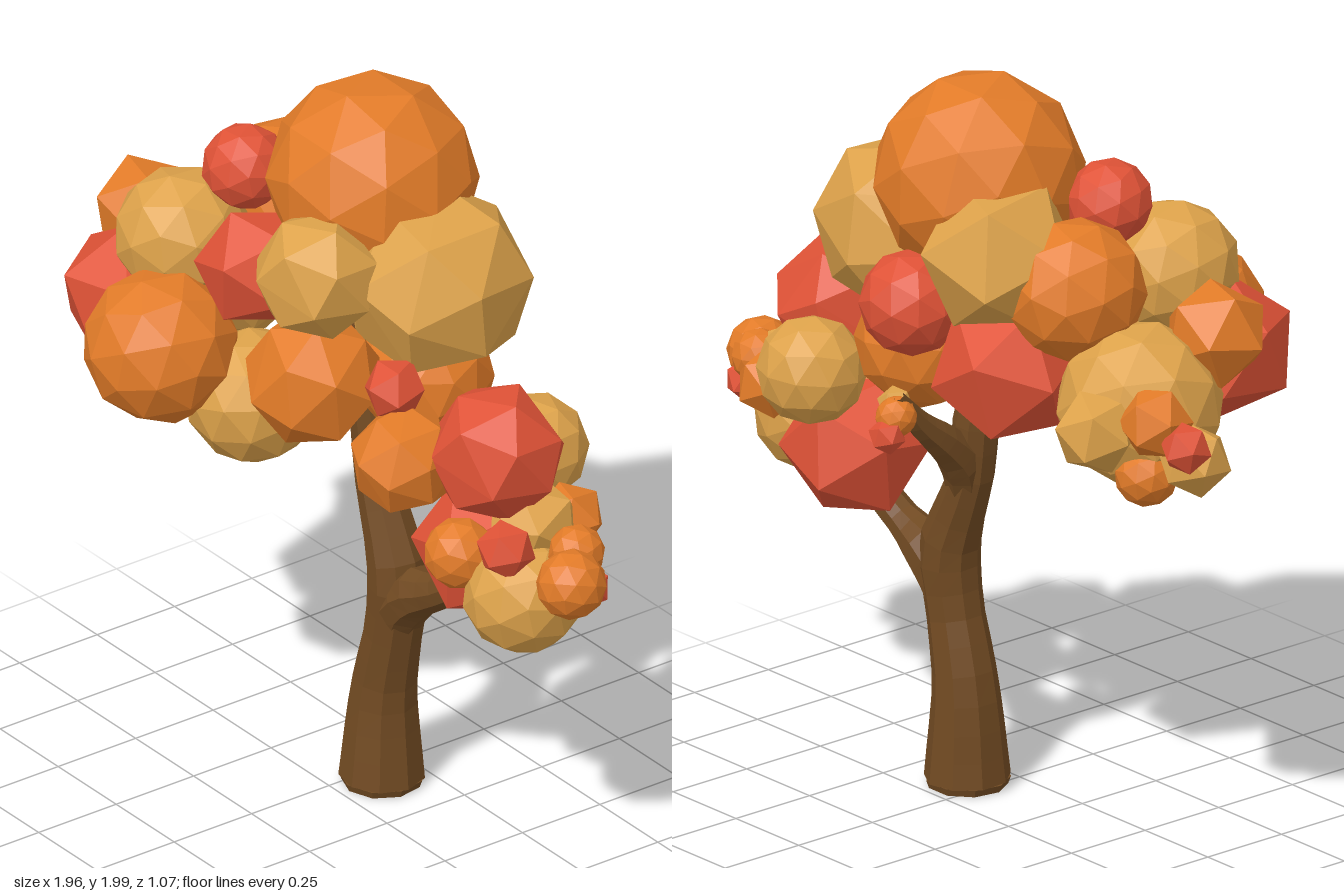
import * as THREE from 'three';
import { ConvexGeometry } from 'three/addons/geometries/ConvexGeometry.js';

const material = (color) => new THREE.MeshStandardMaterial({ color, flatShading: true });
const BARK = material(0x714a22);
const LEAF = { o: material(0xe27b28), t: material(0xdda24a), r: material(0xdf5236) };

// Tapered limb: points are [x, y, z, radius]
function limb(name, points, sides = 9, steps = 12) {
  const curve = new THREE.CatmullRomCurve3(points.map((p) => new THREE.Vector3(p[0], p[1], p[2])));
  const geo = new THREE.TubeGeometry(curve, steps, 1, sides, false);
  const pos = geo.attributes.position;
  const v = new THREE.Vector3();
  for (let i = 0; i <= steps; i++) {
    const t = i / steps;
    const centre = curve.getPointAt(t);
    const f = curve.getUtoTmapping(t) * (points.length - 1);
    const k = Math.min(Math.floor(f), points.length - 2);
    const radius = THREE.MathUtils.lerp(points[k][3], points[k + 1][3], f - k);
    for (let j = 0; j <= sides; j++) {
      const n = i * (sides + 1) + j;
      v.fromBufferAttribute(pos, n).sub(centre).multiplyScalar(radius).add(centre);
      pos.setXYZ(n, v.x, v.y, v.z);
    }
  }
  const mesh = new THREE.Mesh(geo, BARK);
  mesh.name = name;
  return mesh;
}

// Irregular cut-stone ball: hull of points spiralling over a sphere
function cutBall(radius, count = 20) {
  const points = [];
  for (let i = 0; i < count; i++) {
    const y = 1 - (2 * i + 1) / count;
    const a = i * 2.39996;
    const s = Math.sqrt(1 - y * y);
    points.push(new THREE.Vector3(Math.cos(a) * s, y, Math.sin(a) * s).multiplyScalar(radius));
  }
  return new ConvexGeometry(points);
}

// Facet styles of a leaf clump: rounded, triangular or irregular
const FACETS = {
  round: (r) => new THREE.IcosahedronGeometry(r, 1),
  tri: (r) => new THREE.IcosahedronGeometry(r, 0),
  cut: (r) => cutBall(r),
};

// Leaf clumps: [colour, x, y, z, radius, facets]
const crown = [
  ['o', -0.04, 1.725, -0.17, 0.28, 'round'],
  ['t', 0.21, 1.525, -0.19, 0.255, 'cut'],
  ['t', 0.08, 1.58, 0.095, 0.172, 'cut'],
  ['r', -0.15, 1.51, 0.12, 0.165, 'tri'],
  ['r', -0.335, 1.69, 0.02, 0.115, 'round'],
  ['t', -0.42, 1.5, 0.16, 0.18, 'round'],
  ['o', -0.42, 1.52, -0.17, 0.19, 'round'],
  ['o', -0.285, 1.285, 0.33, 0.205, 'round'],
  ['r', -0.545, 1.3, 0.23, 0.195, 'tri'],
  ['o', -0.7, 1.42, 0.07, 0.145, 'tri'],
  ['t', -0.14, 1.14, 0.14, 0.18, 'round'],
  ['o', 0.07, 1.27, 0.1, 0.185, 'cut'],
  ['o', 0.15, 1.22, -0.2, 0.18, 'round'],
  ['r', -0.04, 1.43, -0.4, 0.14, 'round'],
  ['t', -0.25, 1.59, -0.28, 0.22, 'tri'],
  ['r', -0.28, 1.29, -0.28, 0.205, 'tri'],
];
const leftClumps = [
  ['t', -0.62, 1.25, -0.12, 0.22, 'round'],
  ['t', -0.86, 1.17, -0.14, 0.1, 'tri'],
  ['r', -0.92, 1.24, -0.22, 0.07, 'tri'],
  ['o', -0.81, 1.28, -0.23, 0.1, 'tri'],
  ['o', -0.74, 1.11, -0.2, 0.085, 'round'],
  ['t', -0.68, 1.24, -0.32, 0.115, 'tri'],
];
const rightClumps = [
  ['r', 0.31, 1.32, 0.02, 0.085, 'tri'],
  ['o', 0.385, 1.15, 0.045, 0.145, 'cut'],
  ['r', 0.55, 1.19, -0.13, 0.185, 'cut'],
  ['r', 0.43, 0.845, -0.19, 0.2, 'tri'],
  ['t', 0.69, 0.84, -0.11, 0.16, 'round'],
  ['o', 0.55, 0.93, -0.01, 0.095, 'round'],
  ['o', 0.885, 0.95, -0.12, 0.093, 'round'],
  ['r', 0.71, 1.0, -0.04, 0.08, 'tri'],
  ['t', 0.435, 1.085, -0.335, 0.145, 'round'],
  ['o', 0.64, 0.98, -0.3, 0.095, 'tri'],
  ['t', 0.64, 1.0, -0.18, 0.13, 'tri'],
  ['o', 0.8, 0.98, -0.2, 0.075, 'round'],
  ['r', 0.85, 0.9, -0.2, 0.06, 'tri'],
];
const twigClumps = [
  ['o', 0.01, 1.1, -0.41, 0.055, 'round'],
  ['r', 0.0, 1.06, -0.45, 0.05, 'tri'],
  ['t', 0.06, 1.11, -0.37, 0.05, 'tri'],
];

function clumpGroup(name, list) {
  const group = new THREE.Group();
  group.name = name;
  list.forEach(([colour, x, y, z, radius, facets], i) => {
    const mesh = new THREE.Mesh(FACETS[facets](radius), LEAF[colour]);
    mesh.name = 'leafClump';
    mesh.position.set(x, y, z);
    mesh.rotation.set(i * 1.7 + 0.3, i * 2.3, i * 0.9);
    group.add(mesh);
  });
  return group;
}

export function createModel() {
  const tree = new THREE.Group();
  tree.name = 'autumnTree';

  // Trunk and branches; each branch starts inside the trunk so the fork blends
  tree.add(
    limb('trunk', [
      [0.055, 0.02, -0.13, 0.114], [0.058, 0.28, -0.135, 0.087], [0.1, 0.48, -0.135, 0.076],
      [0.115, 0.63, -0.14, 0.085], [0.075, 0.75, -0.14, 0.07], [0.025, 0.87, -0.14, 0.06],
      [0.008, 1.02, -0.14, 0.062], [-0.02, 1.2, -0.13, 0.05], [-0.05, 1.45, -0.13, 0.035],
    ], 9, 20),
    limb('rightBranch', [
      [0.085, 0.4, -0.135, 0.055], [0.125, 0.54, -0.137, 0.075], [0.19, 0.61, -0.14, 0.075],
      [0.285, 0.655, -0.14, 0.049], [0.4, 0.735, -0.15, 0.045], [0.6, 0.88, -0.15, 0.03],
    ], 9, 14),
    limb('leftBranch', [
      [0.0, 1.08, -0.13, 0.05], [-0.2, 1.22, -0.13, 0.045], [-0.55, 1.25, -0.12, 0.03],
    ]),
    limb('backTwig', [
      [0.045, 0.8, -0.14, 0.05], [0.025, 0.91, -0.175, 0.06], [0.015, 0.99, -0.25, 0.05],
      [0.01, 1.06, -0.33, 0.035], [0.0, 1.16, -0.41, 0.014],
    ], 7),
  );

  // Foot of the trunk, with its edge slightly drawn in
  const foot = new THREE.Mesh(new THREE.CylinderGeometry(0.113, 0.106, 0.02, 9), BARK);
  foot.name = 'trunkFoot';
  foot.position.set(0.055, 0.01, -0.13);
  tree.add(foot);

  // Foliage
  tree.add(
    clumpGroup('crown', crown),
    clumpGroup('leftFoliage', leftClumps),
    clumpGroup('rightFoliage', rightClumps),
    clumpGroup('twigFoliage', twigClumps),
  );
  return tree;
}
